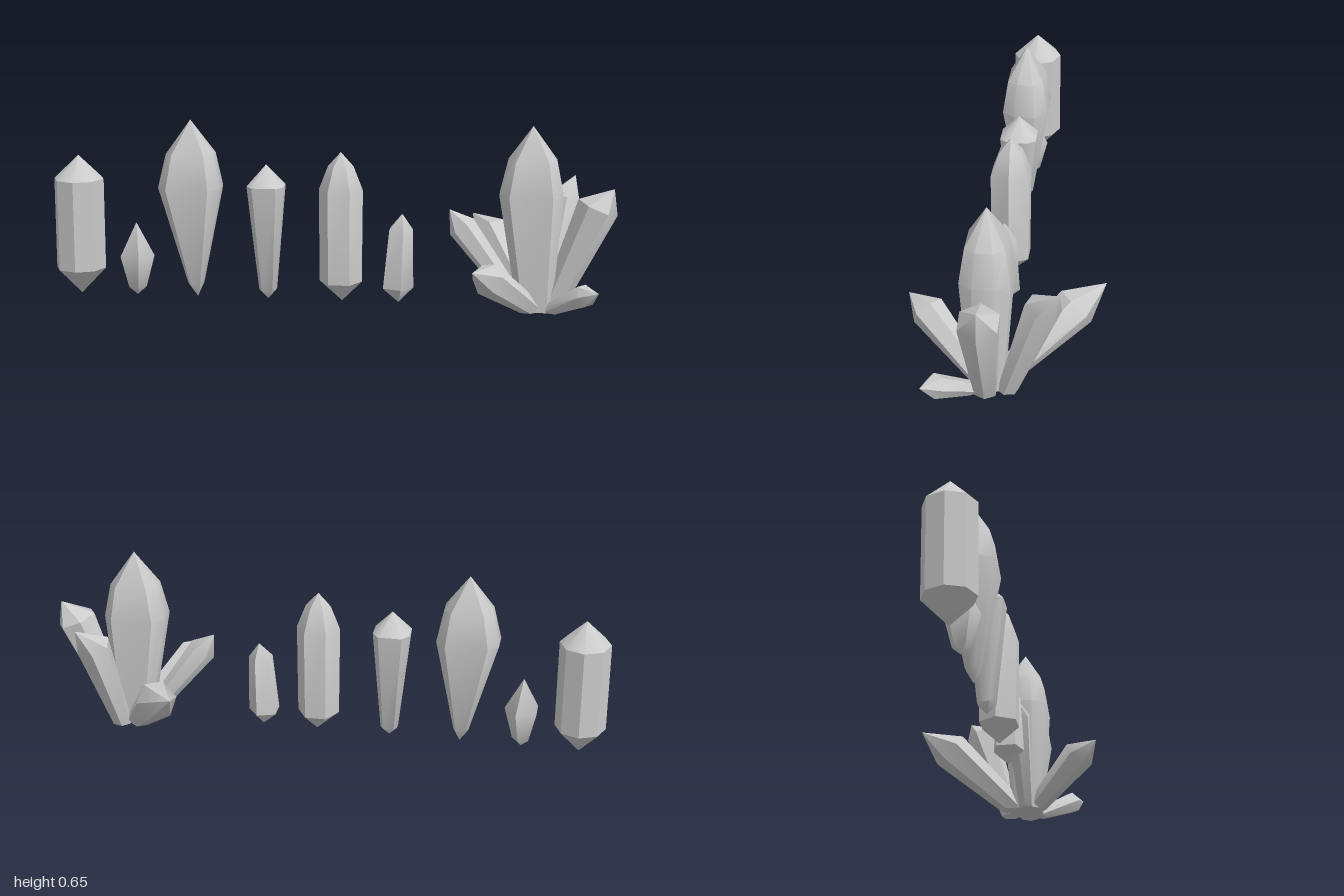
import * as THREE from 'three';
import { toCreasedNormals } from 'three/addons/utils/BufferGeometryUtils.js';

const material = new THREE.MeshStandardMaterial({ color: 0xcccccc });
const UP = new THREE.Vector3(0, 1, 0);

// Unit cross-sections as [u, v] pairs
const polygon = (n, turn = 0) => Array.from({ length: n }, (_, i) => {
  const a = turn + (i / n) * Math.PI * 2;
  return [Math.cos(a), Math.sin(a)];
});
const chamfered = (a, b) => [
  [1, a], [b, 1], [-b, 1], [-1, a], [-1, -a], [-b, -1], [b, -1], [1, -a],
];

// Loft a section through stations [x, y, z, radiusU, radiusV]; radius 0 is a point.
// With a ground cut, the first ring slides along the axis onto y = 0.
function crystal(name, section, stations, axis = UP, cut = false) {
  const dir = axis.clone().normalize();
  const turn = new THREE.Quaternion().setFromUnitVectors(UP, dir);
  const rings = stations.map(([x, y, z, ru, rv = ru]) => section.map(([u, v]) => {
    const p = new THREE.Vector3(u * ru, 0, v * rv).applyQuaternion(turn).add(new THREE.Vector3(x, y, z));
    if (cut && y === 0) p.addScaledVector(dir, -p.y / dir.y);
    return p;
  }));
  const positions = [];
  const triangle = (a, b, c) => {
    if (a.distanceTo(b) < 1e-6 || b.distanceTo(c) < 1e-6 || c.distanceTo(a) < 1e-6) return;
    for (const p of [a, b, c]) positions.push(p.x, p.y, p.z);
  };
  for (let k = 0; k < rings.length - 1; k++) {
    for (let i = 0; i < section.length; i++) {
      const j = (i + 1) % section.length;
      const low = rings[k], high = rings[k + 1];
      triangle(low[i], high[i], low[j]);
      triangle(low[j], high[i], high[j]);
    }
  }
  const geometry = new THREE.BufferGeometry();
  geometry.setAttribute('position', new THREE.Float32BufferAttribute(positions, 3));
  const mesh = new THREE.Mesh(toCreasedNormals(geometry, 0.7), material);
  mesh.name = name;
  return mesh;
}

// Leaning shard: from a ground point to a shoulder, then to an off-centre tip
function shard(name, base, shoulder, tip, radius, sides, turn) {
  const axis = new THREE.Vector3(...shoulder).sub(new THREE.Vector3(...base));
  return crystal(name, polygon(sides, turn), [
    [...base, 0],
    [...base, radius * 0.55],
    [...shoulder, radius],
    [...tip, 0],
  ], axis, true);
}

export function createModel() {
  const group = new THREE.Group();
  group.name = 'crystals';
  const z = 0.04;

  // Loose crystals standing in a row
  group.add(
    crystal('octagonalCrystal', polygon(8), [
      [-0.91, 0.01, z, 0], [-0.91, 0.105, z, 0.09],
      [-0.91, 0.43, z, 0.09], [-0.91, 0.515, z, 0],
    ]),
    crystal('smallCrystal', polygon(5), [
      [-0.705, 0.01, z, 0], [-0.705, 0.04, z, 0.033],
      [-0.705, 0.155, z, 0.064], [-0.705, 0.275, z, 0],
    ]),
    crystal('largeCrystal', chamfered(0.45, 0.68), [
      [-0.485, 0.01, z, 0], [-0.49, 0.06, z, 0.027, 0.026], [-0.505, 0.41, z, 0.11, 0.083],
      [-0.503, 0.53, z, 0.084, 0.065], [-0.503, 0.65, z, 0],
    ]),
    crystal('taperedCrystal', chamfered(0.5, 0.65), [
      [-0.23, 0.01, z, 0], [-0.23, 0.045, z, 0.03],
      [-0.235, 0.42, z, 0.065], [-0.235, 0.495, z, 0],
    ]),
    crystal('hexagonalCrystal', polygon(6), [
      [0.035, 0.01, z, 0], [0.03, 0.08, z, 0.075], [0.03, 0.41, z, 0.078],
      [0.03, 0.495, z, 0.045], [0.03, 0.545, z, 0],
    ]),
    crystal('slimCrystal', polygon(5), [
      [0.235, 0.01, z, 0], [0.23, 0.065, z, 0.058],
      [0.24, 0.275, z, 0.045], [0.247, 0.33, z, 0],
    ]),
  );

  // Cluster: an upright crystal ringed by leaning shards
  const cluster = new THREE.Group();
  cluster.name = 'crystalCluster';
  cluster.add(
    crystal('mainCrystal', chamfered(0.45, 0.68), [
      [0.715, 0, z, 0], [0.715, 0, z, 0.06, 0.055], [0.695, 0.41, z, 0.11, 0.083],
      [0.697, 0.53, z, 0.084, 0.065], [0.697, 0.65, z, 0],
    ]),
    shard('leftShard', [0.77, 0, z], [0.925, 0.37, z], [0.98, 0.435, z], 0.073, 6, 0),
    shard('rightShard', [0.67, 0, z], [0.455, 0.29, z], [0.412, 0.35, z], 0.05, 6, 0),
    shard('backLeftShard', [0.75, 0, -0.03], [0.805, 0.36, -0.15], [0.85, 0.435, -0.205], 0.062, 6, 0.3),
    shard('backRightShard', [0.7, 0, 0], [0.555, 0.21, -0.235], [0.48, 0.26, -0.33], 0.072, 6, 0.5),
    shard('frontRightShard', [0.71, 0, 0.06], [0.555, 0.16, 0.26], [0.505, 0.195, 0.33], 0.06, 6, 0.4),
    shard('frontLeftShard', [0.76, 0, 0.07], [0.885, 0.092, 0.19], [0.93, 0.11, 0.23], 0.042, 6, 0.2),
  );
  group.add(cluster);
  return group;
}
